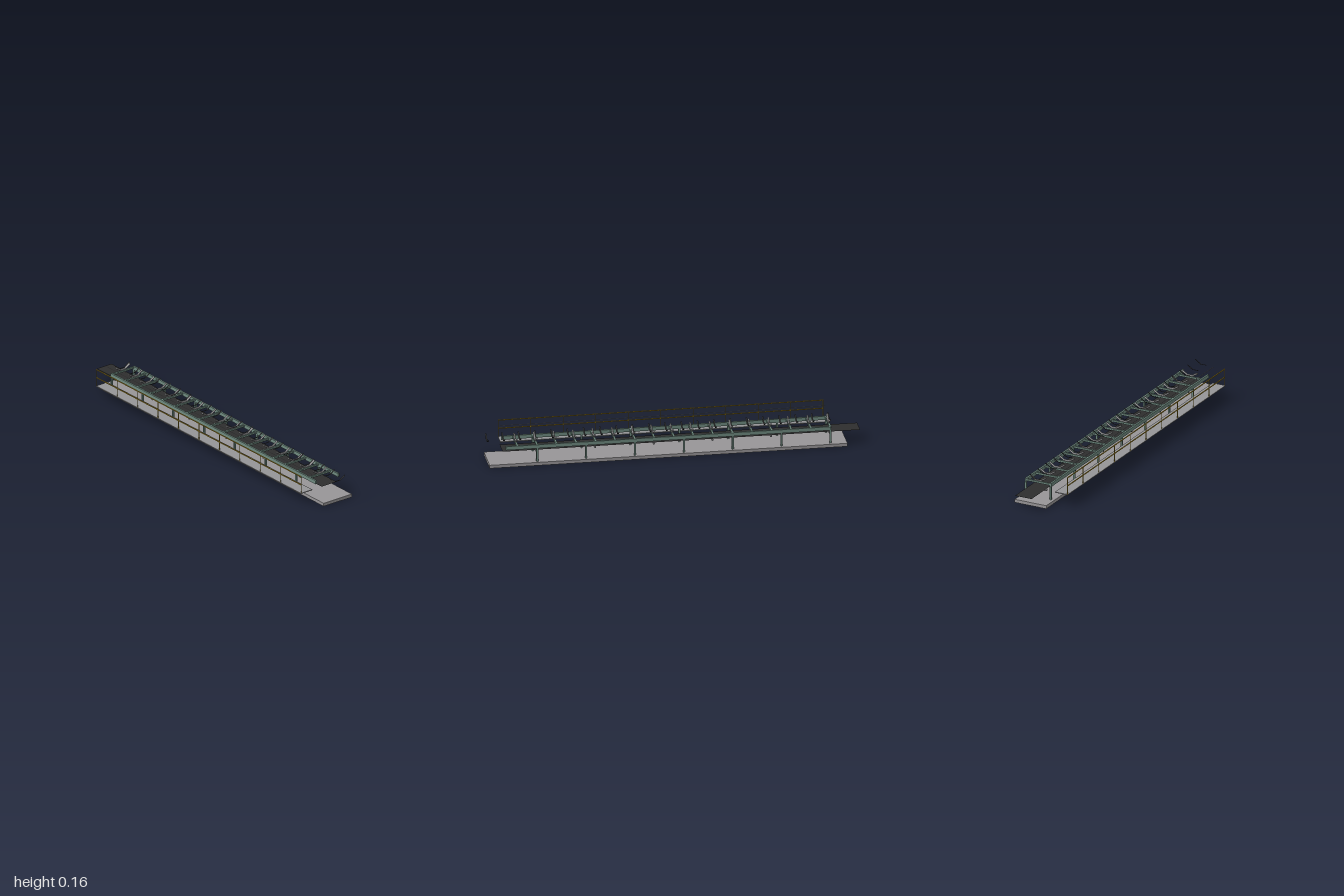
import * as THREE from 'three';

const mat = (name, color, side = THREE.FrontSide) => {
  const m = new THREE.MeshStandardMaterial({ color, side });
  m.name = name;
  return m;
};

export function createModel() {
  const concrete = mat('concrete', 0x989698);
  const green = mat('greenSteel', 0x6f8a80);
  const steel = mat('rollerSteel', 0x8e8e90);
  const grating = mat('walkwaySteel', 0x969698);
  const yellow = mat('safetyYellow', 0xb8982a);
  const rubber = mat('beltRubber', 0x2e2e2e, THREE.DoubleSide);

  const root = new THREE.Group();
  root.name = 'conveyor';
  const group = (name) => {
    const g = new THREE.Group();
    g.name = name;
    root.add(g);
    return g;
  };
  const add = (parent, name, geometry, material) => {
    const m = new THREE.Mesh(geometry, material);
    m.name = name;
    parent.add(m);
    return m;
  };
  // Box given by its limits on each axis
  const box = (parent, name, material, [x0, x1], [y0, y1], [z0, z1]) => {
    const m = add(parent, name, new THREE.BoxGeometry(x1 - x0, y1 - y0, z1 - z0), material);
    m.position.set((x0 + x1) / 2, (y0 + y1) / 2, (z0 + z1) / 2);
    return m;
  };
  // Cylinder between two points of a cross-section, each [z, y]
  const roller = (parent, name, x, [z0, y0], [z1, y1], r) => {
    const dir = new THREE.Vector3(0, y1 - y0, z1 - z0);
    const m = add(parent, name, new THREE.CylinderGeometry(r, r, dir.length(), 16), steel);
    m.position.set(x, (y0 + y1) / 2, (z0 + z1) / 2);
    m.quaternion.setFromUnitVectors(new THREE.Vector3(0, 1, 0), dir.normalize());
  };

  const X0 = -0.84, X1 = 0.908, MID = -0.041;

  // Foundation
  box(root, 'foundation', concrete, [-0.925, 0.997], [0, 0.018], [-0.136, 0.055]);

  // Stringers and legs on both sides
  const frame = group('frame');
  for (const z of [-0.116, 0.034]) {
    box(frame, 'stringer', green, [X0, X1], [0.092, 0.112], [z - 0.005, z + 0.005]);
    for (let i = 0; i < 7; i++) {
      const x = -0.837 + i * 0.2625;
      box(frame, 'leg', green, [x - 0.005, x + 0.005], [0.018, 0.092], [z - 0.005, z + 0.005]);
    }
  }

  // Troughing idlers: cross member with three rollers
  const idlers = group('idlers');
  for (let i = 0; i < 17; i++) {
    const x = -0.837 + i * 0.105;
    box(idlers, 'crossMember', green, [x - 0.005, x + 0.005], [0.1, 0.11], [-0.111, 0.029]);
    roller(idlers, 'centreRoller', x, [MID - 0.019, 0.115], [MID + 0.019, 0.115], 0.005);
    for (const s of [-1, 1]) {
      roller(idlers, 'wingRoller', x, [MID + s * 0.017, 0.116], [MID + s * 0.046, 0.134], 0.0048);
    }
  }

  // Return rollers
  const returns = group('returnRollers');
  for (let i = 0; i < 6; i++) {
    roller(returns, 'returnRoller', -0.837 + i * 0.315, [-0.093, 0.067], [0.011, 0.067], 0.0055);
  }

  // Flat return belt
  const belt = add(root, 'returnBelt', new THREE.PlaneGeometry(1.92, 0.1).rotateX(-Math.PI / 2), rubber);
  belt.position.set(-0.04, 0.0735, -0.043);

  // Trough-shaped belt strips
  const strips = group('beltStrips');
  const profile = [[-0.049, 0.142], [-0.018, 0.1212], [0.018, 0.1212], [0.049, 0.142]];
  const stripGeo = new THREE.PlaneGeometry(0.008, 1, 1, profile.length - 1);
  const pos = stripGeo.attributes.position;
  for (let i = 0; i < pos.count; i++) {
    const [z, y] = profile[Math.floor(i / 2)];
    pos.setXYZ(i, pos.getX(i), y, MID + z);
  }
  stripGeo.computeVertexNormals();
  for (let i = 0; i < 22; i++) {
    add(strips, 'beltStrip', stripGeo, rubber).position.x = 0.995 - i * 0.0875;
  }

  // Walkway with handrail
  const walkway = group('walkway');
  box(walkway, 'deck', grating, [X0, X1], [0.064, 0.068], [0.061, 0.138]);
  for (let i = 0; i <= 10; i++) {
    const x = -0.838 + i * 0.1744;
    box(walkway, 'railPost', yellow, [x - 0.0015, x + 0.0015], [0.068, 0.163], [0.1335, 0.1365]);
  }
  for (const y of [0.1155, 0.162]) {
    box(walkway, 'handrail', yellow, [X0, X1], [y - 0.0022, y + 0.0022], [0.1328, 0.1372]);
  }

  // Pull cord beside the belt
  box(root, 'pullCord', steel, [X0, X1], [0.1575, 0.1595], [0.064, 0.066]);

  return root;
}
